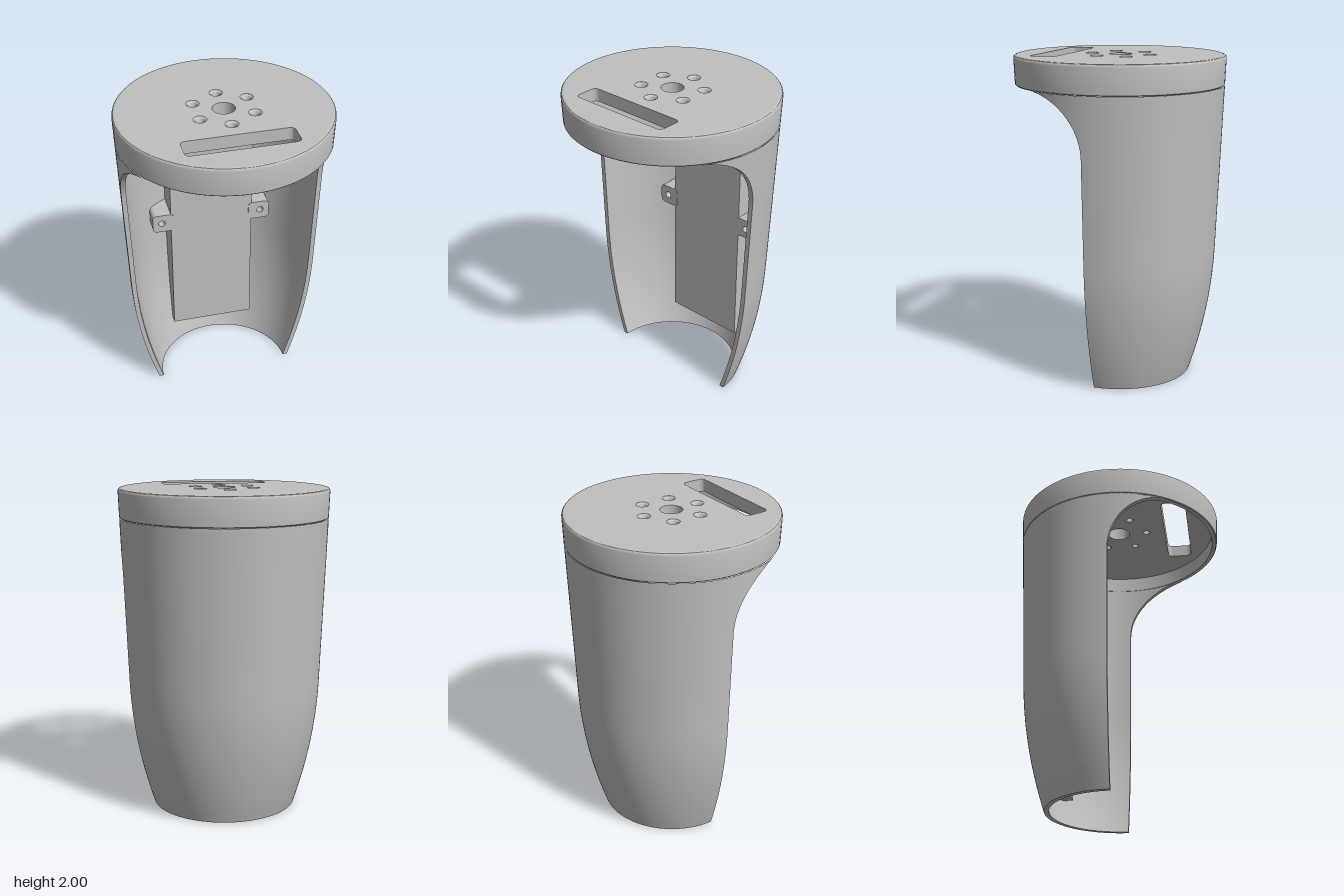
import * as THREE from 'three';
import { toCreasedNormals } from 'three/addons/utils/BufferGeometryUtils.js';

const WALL = 0.03, RIM_Y = 1.82, CEILING = 1.92, PANEL_Z = -0.33;

// Outer radius of the housing: gentle taper, tucked in towards the foot
const radius = (y) => 0.568 + 0.04 * y - 0.184 * Math.max(0, 0.8 - y) ** 2;

// z of the front cut: straight, then a rounded sweep up to the rim
function cutZ(y) {
  const r = 0.37, t = Math.max(0, y - (RIM_Y - r));
  return r - Math.sqrt(Math.max(0, r * r - t * t));
}

// Open half shell built from cross-sections
function shellGeometry() {
  const levels = [];
  for (let i = 0; i < 30; i++) levels.push((1.45 * i) / 30);
  for (let i = 0; i <= 20; i++) levels.push(1.45 + 0.37 * Math.sin((i / 20) * Math.PI / 2));
  const n = 72, ring = 2 * (n + 1), pos = [], idx = [];
  for (const y of levels) {
    for (const [r, dir] of [[radius(y), 1], [radius(y) - WALL, -1]]) {
      const max = Math.acos(-cutZ(y) / r);
      for (let i = 0; i <= n; i++) {
        const a = dir * max * ((2 * i) / n - 1);
        pos.push(r * Math.sin(a), y, -r * Math.cos(a));
      }
    }
  }
  for (let j = 0; j < levels.length - 1; j++) {
    for (let i = 0; i < ring; i++) {
      const a = j * ring + i, b = j * ring + ((i + 1) % ring);
      idx.push(a, a + ring, b, b, a + ring, b + ring);
    }
  }
  // Foot edge
  for (let i = 0; i < n; i++) {
    const p = ring - 1 - i;
    idx.push(i, i + 1, p, i + 1, p - 1, p);
  }
  const g = new THREE.BufferGeometry();
  g.setAttribute('position', new THREE.Float32BufferAttribute(pos, 3));
  g.setIndex(idx);
  return g;
}

// Extrude a front outline back until it meets the curved wall
function toWall(shape) {
  const g = new THREE.ExtrudeGeometry(shape, { depth: 0.1, bevelEnabled: false, curveSegments: 10 });
  g.translate(0, 0, PANEL_Z - 0.1);
  const p = g.attributes.position;
  for (let i = 0; i < p.count; i++) {
    if (p.getZ(i) > PANEL_Z - 0.05) continue;
    const r = radius(p.getY(i)) - WALL / 2, x = p.getX(i);
    p.setZ(i, -Math.sqrt(r * r - x * x));
  }
  return g;
}

function roundedRect(path, x0, y0, x1, y1, r) {
  path.moveTo(x0 + r, y0);
  path.lineTo(x1 - r, y0).quadraticCurveTo(x1, y0, x1, y0 + r);
  path.lineTo(x1, y1 - r).quadraticCurveTo(x1, y1, x1 - r, y1);
  path.lineTo(x0 + r, y1).quadraticCurveTo(x0, y1, x0, y1 - r);
  path.lineTo(x0, y0 + r).quadraticCurveTo(x0, y0, x0 + r, y0);
  return path;
}

const lathe = (pts, seg) => new THREE.LatheGeometry(pts.map(([x, y]) => new THREE.Vector2(x, y)), seg);

export function createModel() {
  const model = new THREE.Group();
  const grey = new THREE.MeshStandardMaterial({ color: 0xc0c0c0 });
  grey.name = 'plain grey';

  function add(name, geometry) {
    const mesh = new THREE.Mesh(toCreasedNormals(geometry, 0.5), grey);
    mesh.name = name;
    model.add(mesh);
    return mesh;
  }

  add('shell', shellGeometry());

  // Rim below the lid, with softened top edge
  add('rim', lathe([
    [0.614, CEILING], [0.61, RIM_Y], [0.635, RIM_Y], [0.641, RIM_Y + 0.006],
    [0.647, 1.982], [0.645, 1.991], [0.64, 1.997], [0.63, 2],
  ], 96));

  // Lid with centre bore, bolt circle and slot
  const lidShape = new THREE.Shape().absarc(0, 0, 0.63, 0, Math.PI * 2);
  lidShape.holes.push(new THREE.Path().absarc(0, 0.005, 0.068, 0, Math.PI * 2));
  lidShape.holes.push(roundedRect(new THREE.Path(), -0.33, -0.455, 0.33, -0.3, 0.035));
  const bolts = [];
  for (let i = 0; i < 6; i++) {
    const a = Math.PI / 2 + (i * Math.PI) / 3;
    const x = 0.188 * Math.cos(a), y = 0.188 * Math.sin(a) + 0.007;
    bolts.push([x, -y]);
    lidShape.holes.push(new THREE.Path().absarc(x, y, 0.04, 0, Math.PI * 2));
  }
  const lid = new THREE.ExtrudeGeometry(lidShape, { depth: 2 - CEILING, bevelEnabled: false, curveSegments: 48 });
  lid.rotateX(-Math.PI / 2);
  lid.translate(0, CEILING, 0);
  add('lid', lid);

  // Countersunk sleeves in the bolt holes
  for (const [x, z] of bolts) {
    add('boltHole', lathe([[0.041, 2], [0.03, 1.992], [0.022, 1.975], [0.022, CEILING], [0.041, CEILING]], 32))
      .position.set(x, 0, z);
  }

  // Mounting block on the back wall, stepped in y to follow the wall
  const block = new THREE.Shape();
  const steps = 20, y0 = 0.17, y1 = CEILING + 0.01;
  for (const side of [1, -1]) {
    for (let i = 0; i <= steps; i++) {
      const t = side > 0 ? i / steps : 1 - i / steps;
      const x = side * 0.27, y = y0 + (y1 - y0) * t;
      if (side > 0 && i === 0) block.moveTo(x, y);
      else block.lineTo(x, y);
    }
  }
  add('mountingBlock', toWall(block));

  // Screw tabs, two pairs
  for (const side of [1, -1]) {
    for (const y of [1.018, 1.843]) {
      const xs = [side * 0.25, side * 0.39].sort((a, b) => a - b);
      const tab = roundedRect(new THREE.Shape(), xs[0], y - 0.063, xs[1], y + 0.063, 0.03);
      tab.holes.push(new THREE.Path().absarc(side * 0.33, y, 0.022, 0, Math.PI * 2));
      const mesh = add('screwTab', toWall(tab));
      mesh.position.z = 0.002;
    }
  }
  return model;
}
